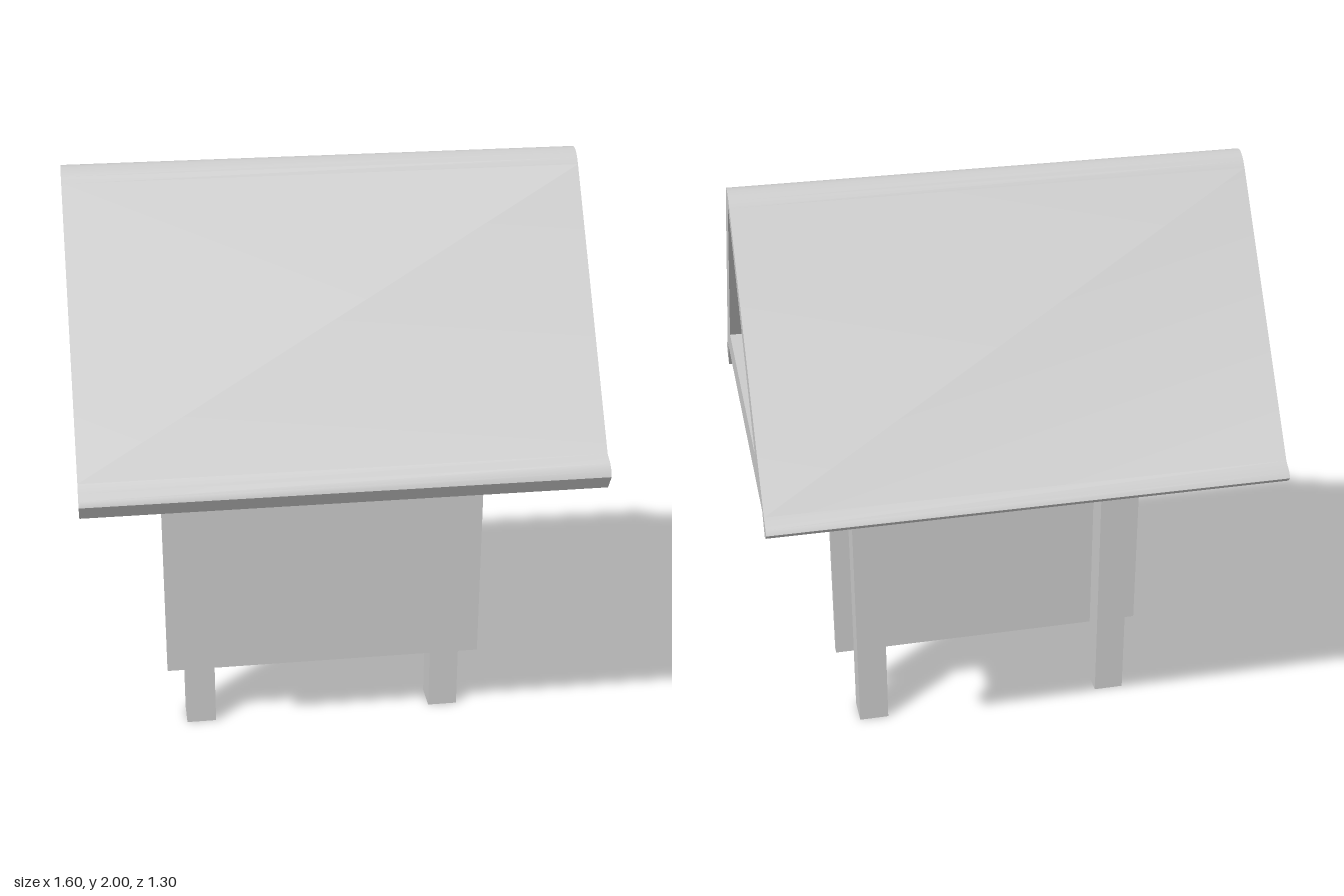
import * as THREE from 'three';
import { toCreasedNormals } from 'three/addons/utils/BufferGeometryUtils.js';

const material = new THREE.MeshStandardMaterial({ color: 0xcccccc });

// Extrudes a (z, y) outline along x, centred on x = 0
function extrudeAlongX(shape, width) {
  const geometry = new THREE.ExtrudeGeometry(shape, { depth: width, bevelEnabled: false, curveSegments: 8 });
  geometry.translate(0, 0, -width / 2);
  geometry.rotateY(-Math.PI / 2);
  return geometry;
}

function outline(points) {
  return new THREE.Shape(points.map(([z, y]) => new THREE.Vector2(z, y)));
}

function addMesh(group, name, geometry, x = 0) {
  const mesh = new THREE.Mesh(geometry, material);
  mesh.name = name;
  mesh.position.x = x;
  group.add(mesh);
}

function box(x0, x1, y0, y1, z0, z1) {
  return new THREE.BoxGeometry(x1 - x0, y1 - y0, z1 - z0)
    .translate((x0 + x1) / 2, (y0 + y1) / 2, (z0 + z1) / 2);
}

function roofGeometry() {
  const shape = new THREE.Shape();
  // Underside, then the flared rear eave
  shape.moveTo(0.57, 1.21);
  shape.lineTo(-0.555, 1.21);
  shape.lineTo(-0.587, 1.135);
  shape.lineTo(-0.636, 1.165);
  shape.lineTo(-0.648, 1.18);
  shape.lineTo(-0.638, 1.195);
  shape.lineTo(-0.605, 1.218);
  // Slopes and rounded ridge
  shape.lineTo(-0.054, 1.96);
  shape.quadraticCurveTo(0.005, 2.04, 0.064, 1.96);
  // Flared front eave
  shape.lineTo(0.592, 1.208);
  shape.lineTo(0.625, 1.192);
  shape.lineTo(0.643, 1.175);
  shape.lineTo(0.65, 1.157);
  shape.lineTo(0.62, 1.108);
  shape.closePath();
  // Open triangular loft, slightly lower at one end
  const apex = 1.947;
  shape.holes.push(outline([[0.415, 1.32], [0.005, apex], [-0.41, 1.32]]));

  const geometry = extrudeAlongX(shape, 1.6);
  const position = geometry.attributes.position;
  for (let i = 0; i < position.count; i++) {
    if (Math.abs(position.getY(i) - apex) < 1e-4 && Math.abs(position.getZ(i) - 0.005) < 1e-4 && position.getX(i) < 0) {
      position.setY(i, 1.905);
    }
  }
  return toCreasedNormals(geometry, 0.75);
}

export function createModel() {
  const group = new THREE.Group();
  group.name = 'noticeBoardShelter';

  addMesh(group, 'roof', roofGeometry());

  // Forked posts
  const post = extrudeAlongX(outline([
    [0.058, 0], [0.058, 0.98], [0.24, 1.212], [0.11, 1.212], [0.05, 1.12],
    [-0.034, 1.12], [-0.096, 1.212], [-0.228, 1.212], [-0.042, 0.98], [-0.042, 0],
  ]), 0.1);
  addMesh(group, 'leftPost', post, 0.425);
  addMesh(group, 'rightPost', post, -0.428);

  // Display panel on the front of the posts
  addMesh(group, 'displayPanel', box(-0.54, 0.537, 0.23, 0.963, 0.056, 0.084));

  // Hanging boards under the roof
  addMesh(group, 'frontBoard', box(-0.594, 0.588, 1.05, 1.212, 0.301, 0.327));
  addMesh(group, 'backBoard', box(-0.594, 0.588, 1.05, 1.212, -0.313, -0.287));

  return group;
}
